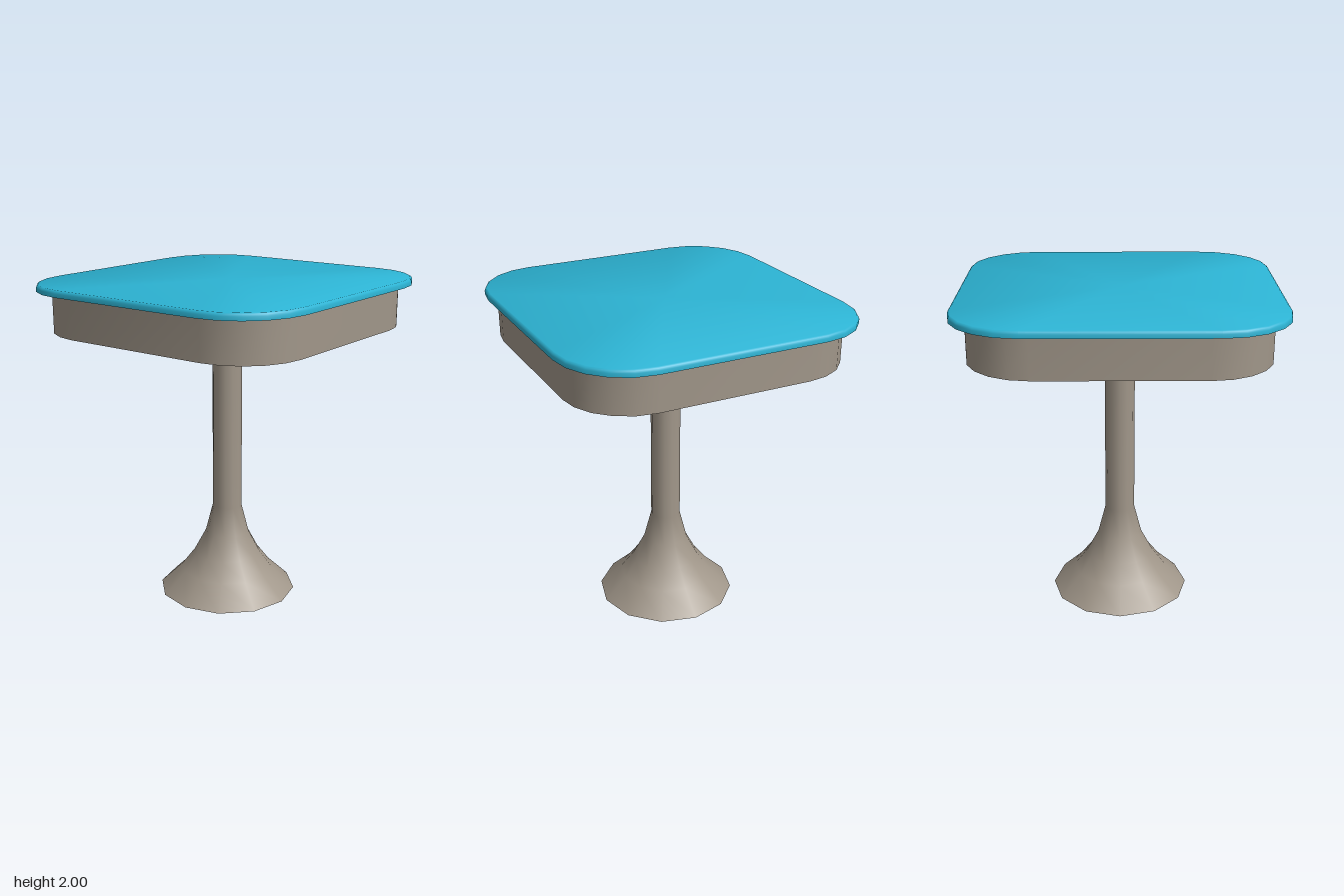
import * as THREE from 'three';
import { toCreasedNormals } from 'three/addons/utils/BufferGeometryUtils.js';

// Closed slab with elliptical corners, lofted through rings of [y, inset]
function roundedSlab(halfX, halfZ, cornerX, cornerZ, rings, steps = 5) {
  const signs = [[1, 1], [-1, 1], [-1, -1], [1, -1]];
  const positions = [], index = [];
  for (const [y, inset] of rings) {
    signs.forEach(([sx, sz], quarter) => {
      for (let i = 0; i <= steps; i++) {
        const a = (quarter + i / steps) * Math.PI / 2;
        positions.push(
          sx * (halfX - cornerX) + Math.cos(a) * (cornerX - inset), y,
          sz * (halfZ - cornerZ) + Math.sin(a) * (cornerZ - inset));
      }
    });
  }
  const n = 4 * (steps + 1), last = (rings.length - 1) * n, bottom = rings.length * n;
  positions.push(0, rings[0][0], 0, 0, rings[rings.length - 1][0], 0);
  for (let i = 0; i < n; i++) {
    const j = (i + 1) % n;
    for (let r = 0; r < last; r += n) {
      index.push(r + i, r + n + i, r + j, r + j, r + n + i, r + n + j);
    }
    index.push(bottom, i, j, bottom + 1, last + j, last + i);
  }
  const geometry = new THREE.BufferGeometry();
  geometry.setAttribute('position', new THREE.Float32BufferAttribute(positions, 3));
  geometry.setIndex(index);
  geometry.computeVertexNormals();
  return toCreasedNormals(geometry, 0.87);
}

export function createModel() {
  const group = new THREE.Group();
  const blue = new THREE.MeshStandardMaterial({ color: 0x2cb3d3 });
  blue.name = 'blue top';
  const stone = new THREE.MeshStandardMaterial({ color: 0xa09689 });
  stone.name = 'warm grey';

  const add = (name, geometry, material, x = 0, y = 0, z = 0) => {
    const mesh = new THREE.Mesh(geometry, material);
    mesh.name = name;
    mesh.position.set(x, y, z);
    group.add(mesh);
  };

  // Table top with a softened upper edge
  add('tableTop', roundedSlab(0.9, 0.94, 0.4, 0.42,
    [[1.96, 0], [1.982, 0], [1.994, 0.005], [2, 0.014]]), blue);

  // Deep apron under the top
  add('apron', roundedSlab(0.84, 0.857, 0.38, 0.38, [[1.71, 0], [1.96, 0]]), stone);

  // Mounting disc between apron and column
  add('mountingDisc', new THREE.CylinderGeometry(0.29, 0.29, 0.05, 24), stone, -0.005, 1.695, 0.002);

  // Column and flared foot turned as one piece, closed underneath
  const profile = [
    [0.432, 0], [0.292, 0.135], [0.212, 0.24], [0.138, 0.38], [0.092, 0.56], [0.091, 1.68],
  ].map(([r, y]) => new THREE.Vector2(r, y));
  add('pedestal', new THREE.LatheGeometry(profile, 12), stone, -0.006, 0, 0.001);
  const underside = new THREE.CircleGeometry(0.432, 12);
  underside.rotateX(Math.PI / 2);
  add('pedestalUnderside', underside, stone, -0.006, 0, 0.001);

  return group;
}
